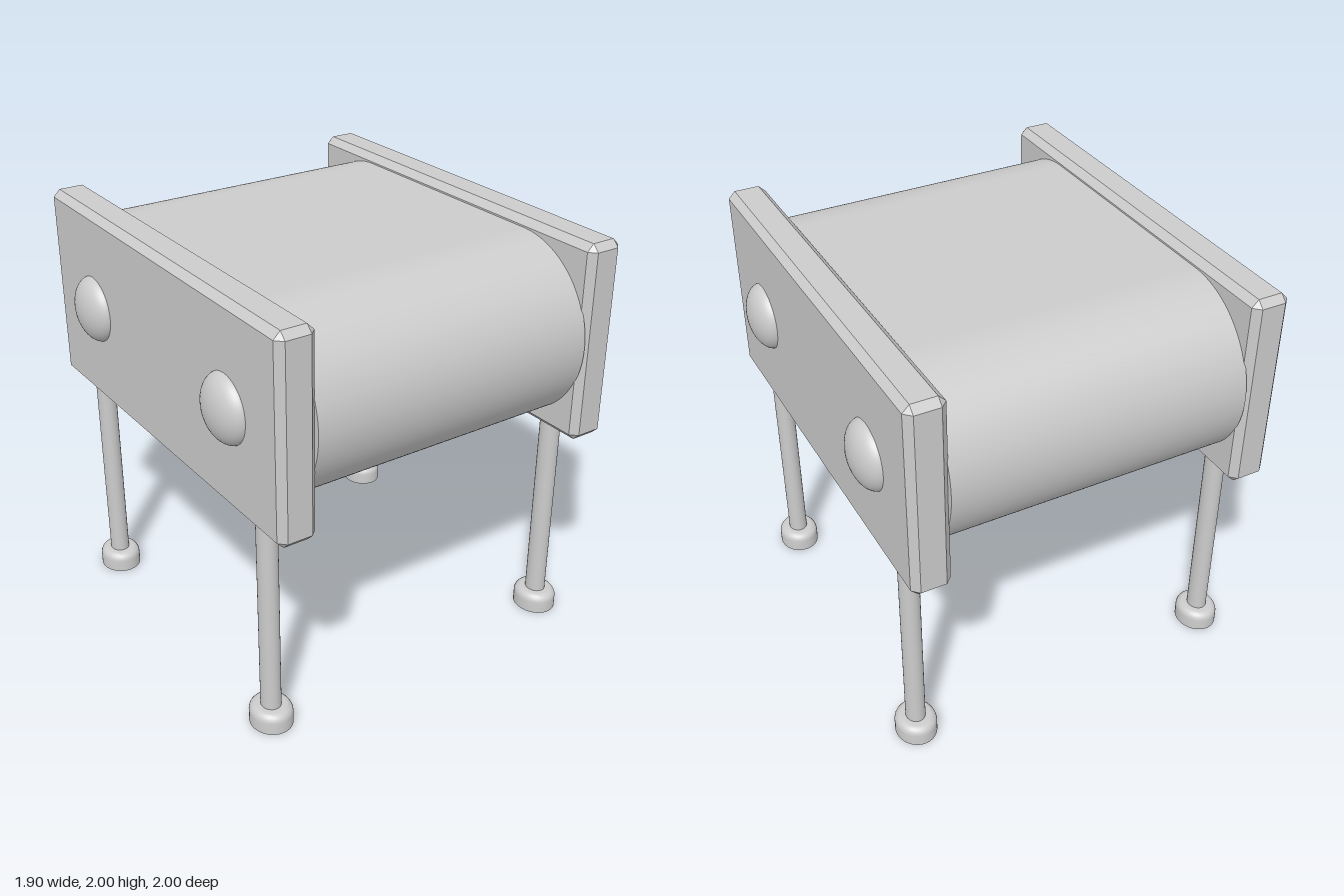
import * as THREE from 'three';
import { toCreasedNormals } from 'three/addons/utils/BufferGeometryUtils.js';
import { ConvexGeometry } from 'three/addons/geometries/ConvexGeometry.js';

const material = new THREE.MeshStandardMaterial({ color: 0xcccccc });

function addPart(parent, name, geometry, x = 0, y = 0, z = 0) {
  const mesh = new THREE.Mesh(geometry, material);
  mesh.name = name;
  mesh.position.set(x, y, z);
  parent.add(mesh);
  return mesh;
}

// Box with every edge and corner cut by a flat chamfer
function chamferedBox(w, h, d, c) {
  const points = [];
  for (const sx of [-1, 1]) for (const sy of [-1, 1]) for (const sz of [-1, 1]) {
    for (let axis = 0; axis < 3; axis++) {
      const inset = [0, 1, 2].map((i) => (i === axis ? 0 : c));
      points.push(new THREE.Vector3(
        sx * (w / 2 - inset[0]), sy * (h / 2 - inset[1]), sz * (d / 2 - inset[2])));
    }
  }
  return new ConvexGeometry(points);
}

// Belt body: a stadium section swept across the width
function beltGeometry(width, radius, halfSpan) {
  const shape = new THREE.Shape();
  shape.moveTo(-halfSpan, -radius);
  shape.lineTo(halfSpan, -radius);
  shape.absarc(halfSpan, 0, radius, -Math.PI / 2, Math.PI / 2, false);
  shape.lineTo(-halfSpan, radius);
  shape.absarc(-halfSpan, 0, radius, Math.PI / 2, Math.PI * 1.5, false);
  const geometry = new THREE.ExtrudeGeometry(shape, { depth: width, bevelEnabled: false, curveSegments: 40 });
  geometry.translate(0, 0, -width / 2);
  geometry.rotateY(Math.PI / 2);
  return toCreasedNormals(geometry, 0.5);
}

// Foot: short disc with a rounded top rim
function footGeometry() {
  const profile = [new THREE.Vector2(0, 0), new THREE.Vector2(0.108, 0)];
  for (let i = 0; i <= 6; i++) {
    const a = (i / 6) * Math.PI / 2;
    profile.push(new THREE.Vector2(0.07 + 0.038 * Math.cos(a), 0.057 + 0.038 * Math.sin(a)));
  }
  profile.push(new THREE.Vector2(0, 0.095));
  return toCreasedNormals(new THREE.LatheGeometry(profile, 40), 0.6);
}

export function createModel() {
  const model = new THREE.Group();
  model.name = 'rollerTable';

  addPart(model, 'belt', beltGeometry(1.392, 0.43, 0.57), 0, 1.53, 0);

  const panel = chamferedBox(0.18, 0.94, 1.994, 0.032);
  const cap = new THREE.SphereGeometry(0.157, 40, 28);
  const post = new THREE.CylinderGeometry(0.051, 0.051, 1.03, 32);
  const foot = footGeometry();

  for (const side of [1, -1]) {
    const label = side > 0 ? 'left' : 'right';
    addPart(model, label + 'SidePanel', panel, side * 0.78, 1.53, 0);

    for (const end of [1, -1]) {
      const place = label + (end > 0 ? 'Front' : 'Back');

      // Domed axle cap on the outer face
      addPart(model, place + 'AxleCap', cap, side * 0.86, 1.53, end * 0.595).scale.x = 0.575;

      // Leg with its foot, slightly narrower across the width
      const leg = new THREE.Group();
      leg.name = place + 'Leg';
      leg.position.set(side * 0.785, 0, end * 0.75);
      leg.scale.x = 0.89;
      addPart(leg, 'post', post, 0, 0.575, 0);
      addPart(leg, 'foot', foot);
      model.add(leg);
    }
  }
  return model;
}
